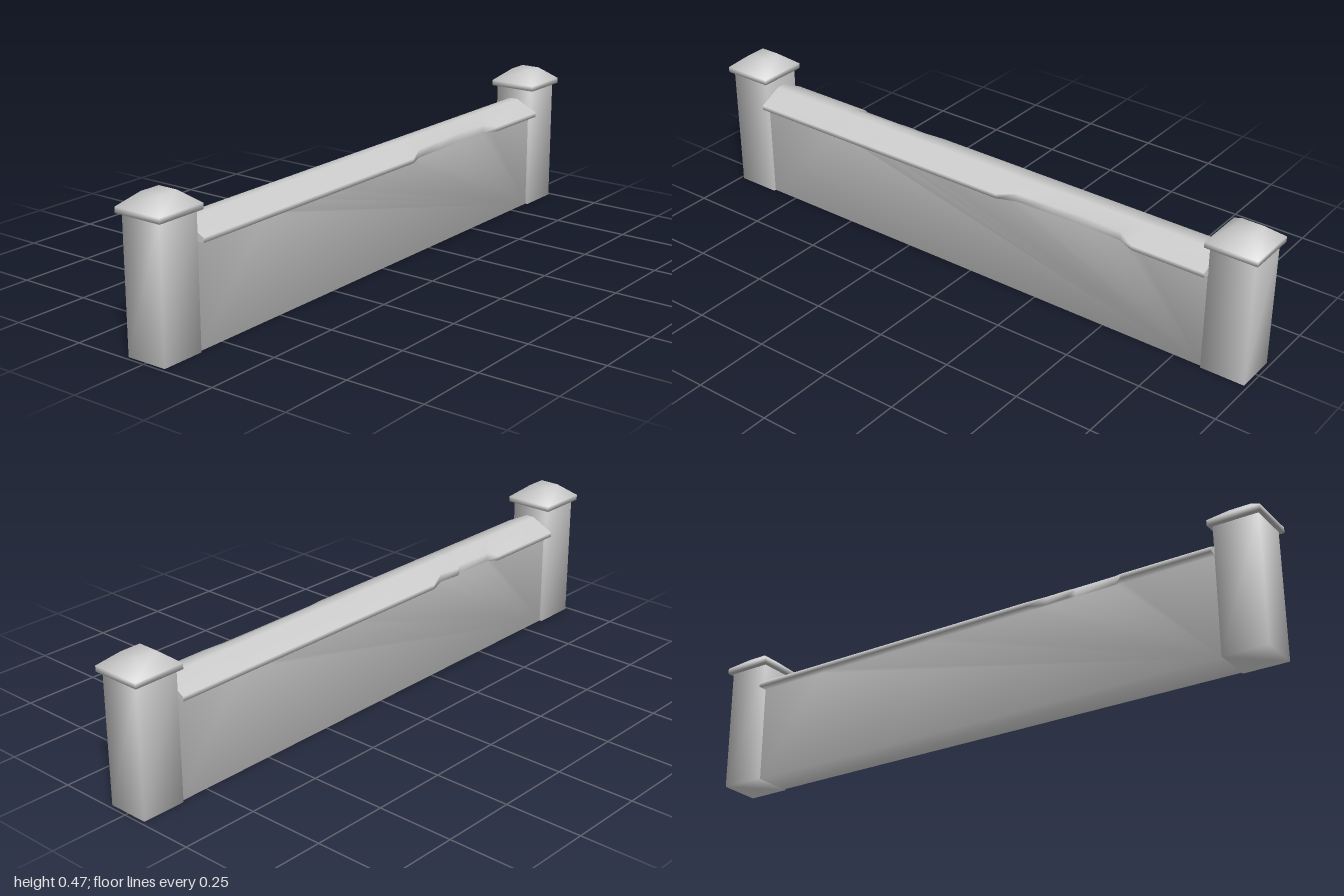
import * as THREE from 'three';

const material = new THREE.MeshStandardMaterial({ color: 0xcccccc });
const END = 0.845;

function smoothMesh(name, points, index) {
  const geometry = new THREE.BufferGeometry();
  geometry.setAttribute('position', new THREE.Float32BufferAttribute(points.flat(), 3));
  geometry.setIndex(index);
  geometry.computeVertexNormals();
  const mesh = new THREE.Mesh(geometry, material);
  mesh.name = name;
  return mesh;
}

// Stack of rectangles [half x, y, half z], closed at both ends, softly shaded
function rectangleStack(name, levels) {
  const points = [], index = [];
  for (const [x, y, z] of levels) points.push([-x, y, z], [x, y, z], [x, y, -z], [-x, y, -z]);
  for (let l = 0; l < levels.length - 1; l++) {
    for (let k = 0; k < 4; k++) {
      const a = l * 4 + k, b = l * 4 + (k + 1) % 4;
      index.push(a, b, b + 4, a, b + 4, a + 4);
    }
  }
  const t = points.length - 4;
  index.push(0, 2, 1, 0, 3, 2, t, t + 1, t + 2, t, t + 2, t + 3);
  return smoothMesh(name, points, index);
}

// Broken stretches of the coping: [x, depth lost from the lip]
const frontChips = [[-END, 0], [0.12, 0], [0.18, 0.023], [0.3, 0.026], [0.43, 0.029], [0.55, 0.025], [0.605, 0], [END, 0]];
const backChips = [[-END, 0], [-0.55, 0], [-0.52, 0.023], [-0.38, 0.026], [-0.36, 0.016], [-0.28, 0.023], [-0.22, 0], [END, 0]];

function depthAt(chips, x) {
  for (let i = 1; i < chips.length; i++) {
    const [x0, d0] = chips[i - 1], [x1, d1] = chips[i];
    if (x <= x1) return d0 + (d1 - d0) * (x - x0) / (x1 - x0);
  }
  return 0;
}

// Half of the wall section from foot to crest; the foot runs straight to the far corner
function halfSection(x, side, footX, depth) {
  const lip = 0.09 - depth;
  return [
    [footX, 0, 0.06 * side],
    [x, 0.322, 0.06 * side],
    [x, 0.322, lip * side],
    [x, 0.375 - (lip - 0.015) * 0.507, lip * side],
    [x, 0.375, 0.015 * side],
  ];
}

function createWall() {
  const stations = [...new Set([...frontChips, ...backChips].map(c => c[0]))].sort((a, b) => a - b);
  const points = [], index = [];
  const rings = stations.map((x, i) => {
    const front = halfSection(x, 1, i === 0 ? -END : END, depthAt(frontChips, x));
    const back = halfSection(x, -1, i === stations.length - 1 ? END : -END, depthAt(backChips, x));
    return [...front, ...back.reverse()];
  });
  rings.forEach(r => points.push(...r));
  // Feet that share a corner share one vertex, so the shading fans out of it
  const n = rings[0].length, last = rings.length - 1;
  const id = (s, k) => {
    if (k === 0 && s > 0) return last * n;
    if (k === n - 1 && s < last) return n - 1;
    return s * n + k;
  };
  const triangle = (a, b, c) => {
    if (a !== b && b !== c && a !== c) index.push(a, b, c);
  };
  for (let s = 0; s < last; s++) {
    for (let k = 0; k < n; k++) {
      const m = (k + 1) % n;
      const a = id(s, k), b = id(s + 1, k), c = id(s + 1, m), d = id(s, m);
      triangle(a, b, c);
      triangle(a, c, d);
    }
  }
  // Flat ends
  for (const [ring, x] of [[rings[0], -END], [rings[last], END]]) {
    const start = points.length;
    points.push([x, 0.33, 0], ...ring.map(p => [x, p[1], p[2]]));
    for (let k = 0; k < n; k++) {
      const a = start + 1 + k, b = start + 1 + (k + 1) % n;
      if (x < 0) index.push(start, a, b);
      else index.push(start, b, a);
    }
  }
  return smoothMesh('wallWithCoping', points, index);
}

export function createModel() {
  const model = new THREE.Group();
  model.name = 'lowWall';
  model.add(createWall());

  // End pillars with hipped caps
  for (const side of [-1, 1]) {
    const pillar = new THREE.Group();
    pillar.name = side > 0 ? 'leftPillar' : 'rightPillar';
    pillar.position.x = 0.916 * side;
    pillar.add(
      rectangleStack('pillarShaft', [[0.072, 0, 0.068], [0.072, 0.415, 0.068]]),
      rectangleStack('pillarCap', [[0.084, 0.413, 0.082], [0.084, 0.431, 0.082], [0.034, 0.471, 0.033]]),
    );
    model.add(pillar);
  }
  return model;
}
